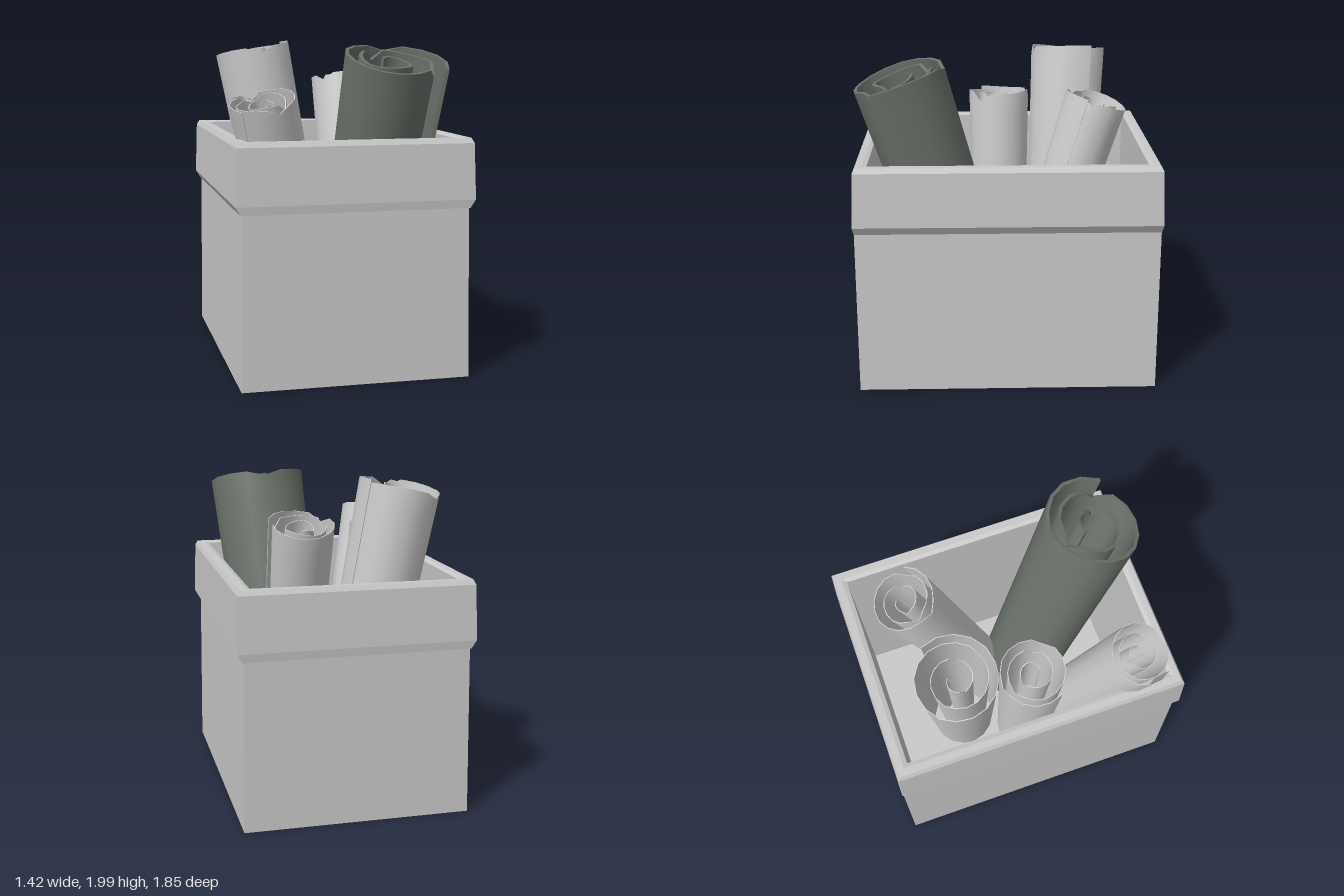
import * as THREE from 'three';
import { toCreasedNormals } from 'three/addons/utils/BufferGeometryUtils.js';

const boxGrey = new THREE.MeshStandardMaterial({ color: 0xc9c9c9 });
boxGrey.name = 'boxGrey';
const paperGrey = new THREE.MeshStandardMaterial({ color: 0xcdcdcd, side: THREE.DoubleSide });
paperGrey.name = 'paperGrey';
const darkPaper = new THREE.MeshStandardMaterial({ color: 0x6b726b, side: THREE.DoubleSide });
darkPaper.name = 'darkPaper';

function geometry(positions, index) {
  const g = new THREE.BufferGeometry();
  g.setAttribute('position', new THREE.Float32BufferAttribute(positions, 3));
  g.setIndex(index);
  return g;
}

// Stack of rectangles [half width, y, half depth], joined into flat faces
function rectLoft(name, rings, material) {
  const pos = [], idx = [];
  for (const [x, y, z] of rings) pos.push(x, y, z, x, y, -z, -x, y, -z, -x, y, z);
  for (let r = 0; r < rings.length - 1; r++) {
    for (let k = 0; k < 4; k++) {
      const a = r * 4 + k, b = r * 4 + (k + 1) % 4;
      idx.push(a, b, b + 4, a, b + 4, a + 4);
    }
  }
  const g = geometry(pos, idx).toNonIndexed();
  g.computeVertexNormals();
  const mesh = new THREE.Mesh(g, material);
  mesh.name = name;
  return mesh;
}

function seeded(seed) {
  let s = seed;
  return () => (s = (s * 16807) % 2147483647) / 2147483647;
}

// Rolled sheet: a spiral strip with thickness, slight taper and a torn top edge.
// The first turn keeps nearly the full radius, later turns coil inwards.
function roll({ name, top, bottom, r, turns, start, dir, seed, thick, inner, tear, flap, mat }) {
  const rand = seeded(seed * 7919);
  const from = new THREE.Vector3(...bottom), axis = new THREE.Vector3(...top).sub(from);
  const length = axis.length();
  const n = Math.round(turns * 16);
  const rows = [[0, 0.86], [length * 0.5, 0.93], [length - 0.14, 0.99], [length, 1]];

  // Torn edge: a gentle wave with a sharp notch now and then
  const drop = [];
  let next = 5;
  for (let i = 0; i <= n; i++) {
    let d = 0.008 * (1 + Math.sin(i * 0.9 + seed));
    if (i === next) {
      d = tear * (0.6 + 0.4 * rand());
      next += 6 + Math.floor(rand() * 6);
    }
    drop.push(d + 0.03 * i / n);
  }

  const pos = [], idx = [];
  rows.forEach(([y, scale], row) => {
    for (let side = 0; side < 2; side++) {
      for (let i = 0; i <= n; i++) {
        const turn = i / n * turns, a = start + dir * turn * Math.PI * 2;
        const coil = Math.max(0, (turn - 0.9) / (turns - 0.9));
        const lift = flap * Math.max(0, 1 - i / 6);
        const rad = (r * (1 - 0.07 * Math.min(turn, 1) - (0.93 - inner) * coil) + lift) * scale - side * thick;
        pos.push(Math.cos(a) * rad, row === 3 ? y - drop[i] : y, Math.sin(a) * rad);
      }
    }
  });
  const at = (row, side, i) => (row * 2 + side) * (n + 1) + i;
  const quad = (a, b, c, d) => (dir > 0 ? idx.push(a, b, c, a, c, d) : idx.push(c, b, a, d, c, a));
  for (let row = 0; row < 3; row++) {
    for (let i = 0; i < n; i++) {
      quad(at(row, 0, i + 1), at(row, 0, i), at(row + 1, 0, i), at(row + 1, 0, i + 1));
      quad(at(row, 1, i), at(row, 1, i + 1), at(row + 1, 1, i + 1), at(row + 1, 1, i));
    }
    quad(at(row, 0, 0), at(row, 1, 0), at(row + 1, 1, 0), at(row + 1, 0, 0));
    quad(at(row, 1, n), at(row, 0, n), at(row + 1, 0, n), at(row + 1, 1, n));
  }
  for (let i = 0; i < n; i++) {
    quad(at(3, 0, i + 1), at(3, 0, i), at(3, 1, i), at(3, 1, i + 1));
    quad(at(0, 0, i), at(0, 0, i + 1), at(0, 1, i + 1), at(0, 1, i));
  }
  const mesh = new THREE.Mesh(toCreasedNormals(geometry(pos, idx), 0.9), mat);
  mesh.name = name;
  mesh.position.copy(from);
  mesh.quaternion.setFromUnitVectors(new THREE.Vector3(0, 1, 0), axis.normalize());
  return mesh;
}

export function createModel() {
  const model = new THREE.Group();
  model.name = 'boxOfRolls';

  // Open box: underside, tapered walls, wider rim band, inner walls and floor
  const box = new THREE.Group();
  box.name = 'box';
  box.position.z = -0.017;
  box.add(
    rectLoft('outerWalls', [[0, 0, 0], [0.685, 0, 0.915], [0.67, 1.03, 0.914]], boxGrey),
    rectLoft('rim', [
      [0.665, 1.02, 0.91], [0.68, 1.02, 0.914], [0.71, 1.07, 0.92], [0.7, 1.4, 0.908],
      [0.685, 1.43, 0.893], [0.64, 1.43, 0.855], [0.615, 1.422, 0.828],
    ], boxGrey),
    rectLoft('innerWallsAndFloor', [[0.615, 1.422, 0.828], [0.6, 0.08, 0.803], [0, 0.08, 0]], boxGrey),
  );
  model.add(box);

  // Rolled sheets leaning out of the box
  const light = { turns: 2.9, dir: 1, thick: 0.005, inner: 0.2, tear: 0.07, flap: 0.012, mat: paperGrey };
  const rolls = [
    { ...light, name: 'darkRoll', top: [0.27, 1.9, 0.65], bottom: [0.15, 0.12, 0.12], r: 0.295,
      turns: 2.4, start: 0.5, dir: -1, seed: 3, thick: 0.022, inner: 0.3, flap: 0.05, mat: darkPaper },
    { ...light, name: 'tallRoll', top: [-0.39, 1.95, -0.445], bottom: [-0.06, 0.13, -0.36], r: 0.25,
      start: -0.5, seed: 11 },
    { ...light, name: 'backRoll', top: [0.25, 1.745, -0.575], bottom: [0.25, 0.35, -0.15], r: 0.195,
      start: 0.4, seed: 23 },
    { ...light, name: 'sideRoll', top: [-0.4, 1.66, 0.02], bottom: [-0.25, 0.12, 0.02], r: 0.205,
      start: 2.6, seed: 31 },
    { ...light, name: 'frontRoll', top: [-0.505, 1.66, 0.66], bottom: [-0.18, 0.14, 0.27], r: 0.195,
      start: 2.4, seed: 47 },
  ];
  for (const spec of rolls) model.add(roll(spec));
  return model;
}
